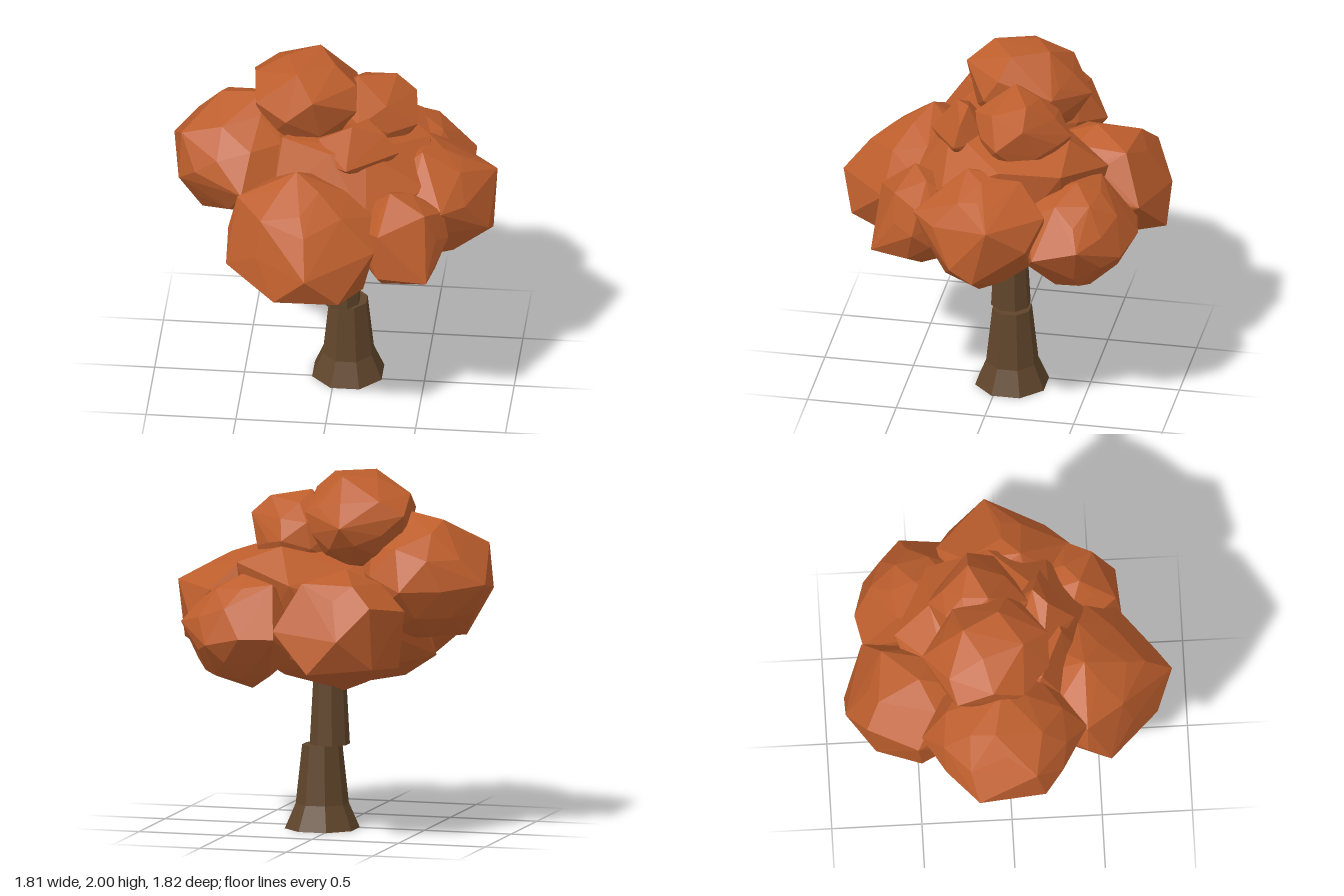
import * as THREE from 'three';
import { ConvexGeometry } from 'three/addons/geometries/ConvexGeometry.js';

const foliageMaterial = new THREE.MeshStandardMaterial({ color: 0xbd5e2d, flatShading: true });
foliageMaterial.name = 'rust foliage';
const barkMaterial = new THREE.MeshStandardMaterial({ color: 0x60452b, flatShading: true });
barkMaterial.name = 'brown bark';

// Faceted clump: a turned, rounded core with a few corners sticking out of it
function leafClump(name, center, radii, turn, corners) {
  const core = new THREE.IcosahedronGeometry(1, 1).rotateY(turn).rotateX(turn * 0.7);
  core.scale(...radii).translate(...center);
  const points = corners.map((corner) => new THREE.Vector3(...corner));
  const pos = core.attributes.position;
  for (let i = 0; i < pos.count; i++) points.push(new THREE.Vector3().fromBufferAttribute(pos, i));
  const mesh = new THREE.Mesh(new ConvexGeometry(points), foliageMaterial);
  mesh.name = name;
  return mesh;
}

// Eight-sided closed trunk piece from [radius, height] pairs
function trunkPiece(name, profile, x, z) {
  const points = [[0, profile[0][1]], ...profile, [0, profile.at(-1)[1]]];
  const geometry = new THREE.LatheGeometry(points.map(([r, y]) => new THREE.Vector2(r, y)), 8, Math.PI / 8);
  const mesh = new THREE.Mesh(geometry, barkMaterial);
  mesh.name = name;
  mesh.position.set(x, 0, z);
  return mesh;
}

export function createModel() {
  const tree = new THREE.Group();
  tree.name = 'autumnTree';

  // Flared lower trunk and the offset upper trunk
  tree.add(trunkPiece('lowerTrunk', [[0.209, 0], [0.148, 0.14], [0.112, 0.47]], 0.07, -0.07));
  tree.add(trunkPiece('upperTrunk', [[0.112, 0.47], [0.083, 1.0]], 0.031, -0.055));

  const crown = new THREE.Group();
  crown.name = 'crown';
  tree.add(crown);

  // Broad middle of the crown
  crown.add(leafClump('middleFoliage', [0.01, 1.2, -0.03], [0.52, 0.4, 0.52], 0.4, [
    [-0.54, 0.97, 0.1], [-0.36, 0.85, 0.1], [0.2, 1.63, 0.25], [0, 1.63, 0.3], [-0.27, 1.65, 0.18],
    [0.53, 1.55, -0.08], [0.2, 1.62, -0.42], [0.46, 1.52, -0.42], [0.1, 1.43, -0.62], [0.53, 1.4, 0.24],
    [0.22, 1.3, 0.48], [0.32, 0.83, 0.05], [0, 0.8, -0.1],
  ]));

  // Ring of lower clumps
  crown.add(leafClump('frontFoliage', [-0.13, 1.18, 0.42], [0.38, 0.35, 0.34], 1.1, [
    [-0.08, 1.16, 0.91], [0.1, 0.98, 0.83], [-0.26, 0.97, 0.82], [-0.1, 1.35, 0.76], [-0.55, 1.2, 0.42],
    [0.28, 1.2, 0.62], [-0.17, 1.58, 0.42], [-0.5, 1.4, 0.42], [-0.1, 0.8, 0.44], [0.29, 1.32, 0.42],
    [-0.55, 1.04, 0.55], [-0.36, 0.87, 0.48], [0.2, 0.84, 0.42],
  ]));
  crown.add(leafClump('rightFoliage', [-0.5, 1.42, -0.05], [0.36, 0.34, 0.4], 2.3, [
    [-0.91, 1.42, -0.2], [-0.84, 1.61, 0.12], [-0.64, 1.76, -0.1], [-0.4, 1.8, -0.05], [-0.73, 1.1, 0.05],
    [-0.85, 1.35, 0.17], [-0.48, 1.4, 0.42], [-0.5, 1.4, -0.5], [-0.75, 1.45, 0.27], [-0.82, 1.25, -0.1],
  ]));
  crown.add(leafClump('backRightFoliage', [-0.2, 1.18, -0.5], [0.31, 0.32, 0.36], 3.2, [
    [-0.54, 1.3, -0.52], [-0.42, 1.35, -0.8], [-0.26, 1.17, -0.91], [-0.09, 0.98, -0.91], [0.14, 1.2, -0.8],
    [-0.3, 1.46, -0.73], [0, 1.46, -0.7], [-0.2, 1.52, -0.5], [-0.2, 0.85, -0.55], [-0.42, 1, -0.75],
    [-0.5, 0.98, -0.5],
  ]));
  crown.add(leafClump('backLeftFoliage', [0.4, 1.15, -0.47], [0.3, 0.3, 0.31], 4.5, [
    [0.33, 1.15, -0.83], [0.54, 1.1, -0.77], [0.74, 1.2, -0.56], [0.74, 1.13, -0.31], [0.4, 1.47, -0.5],
    [0.2, 1.43, -0.6], [0.35, 0.83, -0.48], [0.14, 1.15, -0.79], [0.6, 0.93, -0.55],
  ]));
  crown.add(leafClump('leftFoliage', [0.53, 1.2, 0], [0.31, 0.33, 0.33], 5.2, [
    [0.9, 1.36, -0.08], [0.885, 1.03, 0], [0.87, 1.1, 0.13], [0.72, 1.46, 0], [0.5, 1.55, 0.1],
    [0.67, 0.89, 0], [0.63, 1.32, 0.38], [0.63, 1.35, -0.36], [0.78, 1.2, -0.28], [0.75, 1.3, 0.25],
    [0.5, 1.5, -0.2],
  ]));
  crown.add(leafClump('frontLeftFoliage', [0.4, 1.17, 0.38], [0.24, 0.27, 0.23], 6, [
    [0.67, 1.18, 0.38], [0.57, 1.02, 0.63], [0.3, 1.05, 0.65], [0.55, 1.38, 0.5], [0.35, 1.47, 0.42],
    [0.64, 1.32, 0.35], [0.3, 0.87, 0.4], [0.3, 1.3, 0.62], [0.6, 1, 0.42],
  ]));

  // Upper clumps
  crown.add(leafClump('topFoliage', [-0.16, 1.72, -0.13], [0.29, 0.25, 0.31], 0.9, [
    [-0.2, 2, 0.08], [0, 2, -0.05], [-0.1, 2, -0.25], [-0.27, 1.99, -0.15], [0.12, 1.9, 0],
    [-0.45, 1.9, -0.1], [-0.47, 1.8, -0.3], [-0.15, 1.74, -0.48], [-0.1, 1.9, 0.22], [-0.25, 1.77, 0.22],
    [-0.43, 1.8, 0.07], [-0.34, 1.88, -0.34], [0.1, 1.8, -0.3], [0.13, 1.78, 0.08],
  ]));
  crown.add(leafClump('upperLeftFoliage', [0.18, 1.62, -0.15], [0.24, 0.24, 0.25], 1.7, [
    [0.12, 1.9, -0.1], [0.33, 1.87, -0.2], [0.44, 1.77, -0.2], [0.46, 1.64, -0.05], [0.2, 1.65, -0.43],
    [0.15, 1.72, 0.13],
  ]));
  crown.add(leafClump('smallFrontFoliage', [0.14, 1.56, 0.17], [0.17, 0.14, 0.13], 2.8, [
    [-0.07, 1.66, 0.2], [0.12, 1.77, 0.23], [0.2, 1.78, 0.15], [0.1, 1.57, 0.38], [0.3, 1.7, 0.18],
    [0.38, 1.6, 0.2], [-0.04, 1.56, 0.28],
  ]));
  return tree;
}
